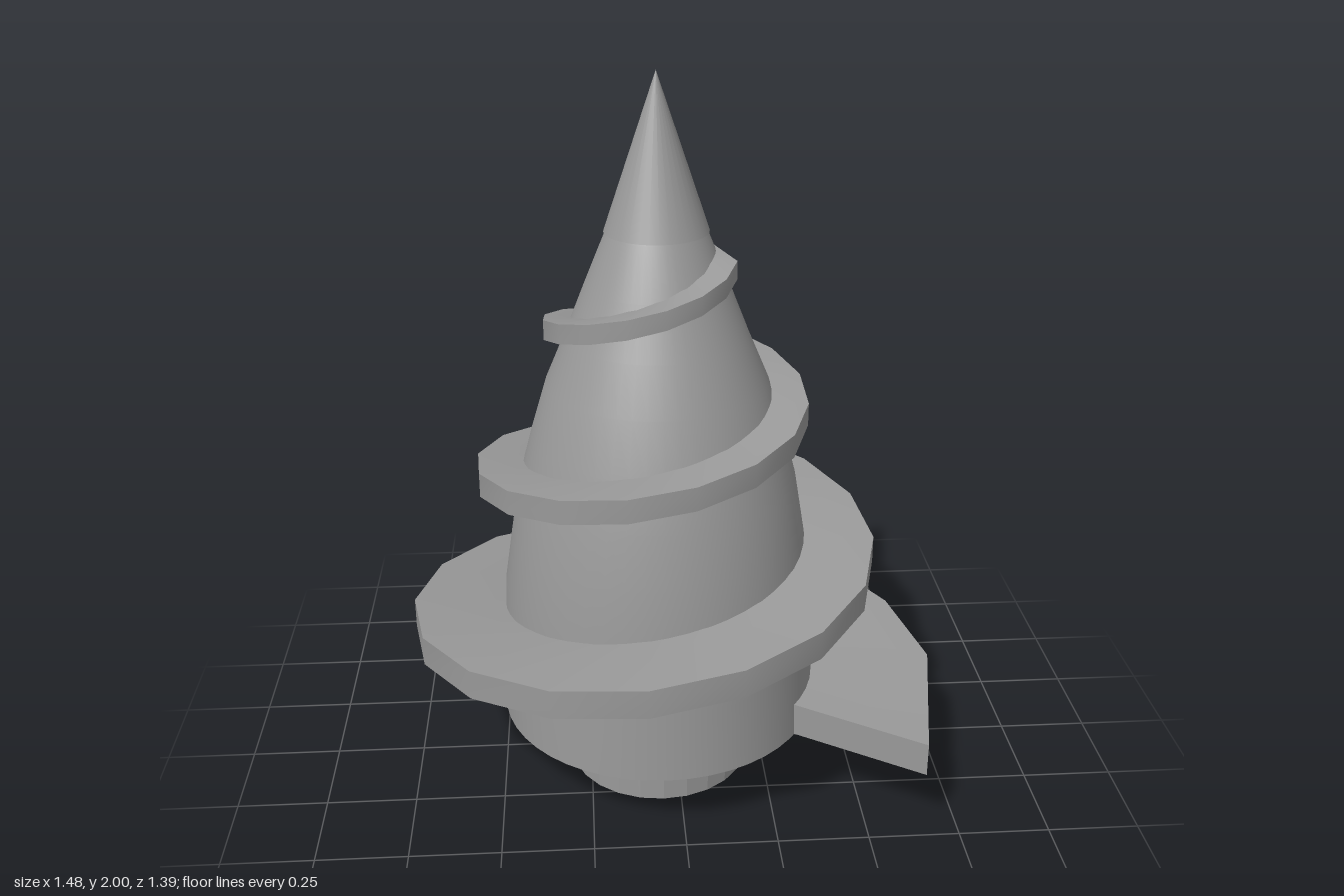
import * as THREE from 'three';
import { toCreasedNormals } from 'three/addons/utils/BufferGeometryUtils.js';

const AXIS_X = -0.05, AXIS_Z = 0.037;

// Radius and height along the tapering body
const BODY = [[0.445, 0.2], [0.438, 0.4], [0.428, 0.6], [0.405, 0.75], [0.38, 0.9], [0.345, 1.03],
  [0.3, 1.18], [0.245, 1.31], [0.19, 1.45], [0.135, 1.585], [0.128, 1.6]];

function bodyRadius(y) {
  const i = BODY.findIndex((point) => point[1] >= y);
  const [r0, y0] = BODY[i - 1], [r1, y1] = BODY[i];
  return r0 + (r1 - r0) * (y - y0) / (y1 - y0);
}

// One rectangular cross-section of the blade at a given angle in degrees
function bladeSection(deg, outer, bottom, top, inner) {
  const a = THREE.MathUtils.degToRad(deg);
  const at = (r, y) => [Math.cos(a) * r, y, -Math.sin(a) * r];
  return [at(inner, bottom), at(outer, bottom), at(outer, top), at(inner, top)];
}

// Spiral blade: sections joined in a loop, closed at both ends
function bladeGeometry() {
  const sections = [bladeSection(-33, 0.83, 0.2, 0.295, 0.42)];
  for (let i = 0; i <= 48; i++) {
    const turn = i * 22.06 / 360;
    const top = Math.max(0.295, 0.285 + 0.465 * turn - 0.014 * turn * turn);
    const bottom = Math.max(0.2, top - 0.09 + 0.014 * turn);
    sections.push(bladeSection(turn * 360, 0.79 - 0.195 * turn, bottom, top, bodyRadius(top) - 0.03));
  }
  sections.push(bladeSection(1096, 0.155, 1.515, 1.543, 0.1));

  const index = [];
  const quad = (a, b, c, d) => index.push(a, b, c, a, c, d);
  const last = (sections.length - 1) * 4;
  for (let s = 0; s < last; s += 4) {
    for (let j = 0; j < 4; j++) {
      const k = (j + 1) % 4;
      quad(s + j, s + 4 + j, s + 4 + k, s + k);
    }
  }
  quad(0, 1, 2, 3);
  quad(last + 3, last + 2, last + 1, last);

  const geometry = new THREE.BufferGeometry();
  geometry.setAttribute('position', new THREE.Float32BufferAttribute(sections.flat(2), 3));
  geometry.setIndex(index);
  return toCreasedNormals(geometry, 0.5);
}

const lathe = (points, segments) =>
  new THREE.LatheGeometry(points.map(([r, y]) => new THREE.Vector2(r, y)), segments);

export function createModel() {
  const model = new THREE.Group();
  model.name = 'drillBit';
  const color = 0x999999;
  const smooth = new THREE.MeshStandardMaterial({ color });
  const thin = new THREE.MeshStandardMaterial({ color, flatShading: true, side: THREE.DoubleSide });

  function add(name, geometry, material, y = 0, z = AXIS_Z) {
    const mesh = new THREE.Mesh(geometry, material);
    mesh.name = name;
    mesh.position.set(AXIS_X, y, z);
    model.add(mesh);
  }

  // Hollow mounting shaft, its socket reaching up into the body
  add('shaft', lathe([[0.255, 0], [0.255, 0.5], [0, 0.5]], 24), thin);

  // Tapering body with a flat underside around the shaft
  add('body', toCreasedNormals(lathe([[0.25, 0.2], ...BODY], 48), 0.6), smooth);

  // Pointed tip with a slight lip over the body
  add('tip', new THREE.ConeGeometry(0.138, 0.41, 32), smooth, 1.795);

  // Spiral cutting blade
  add('spiralBlade', bladeGeometry(), smooth, 0, 0.05);

  return model;
}
